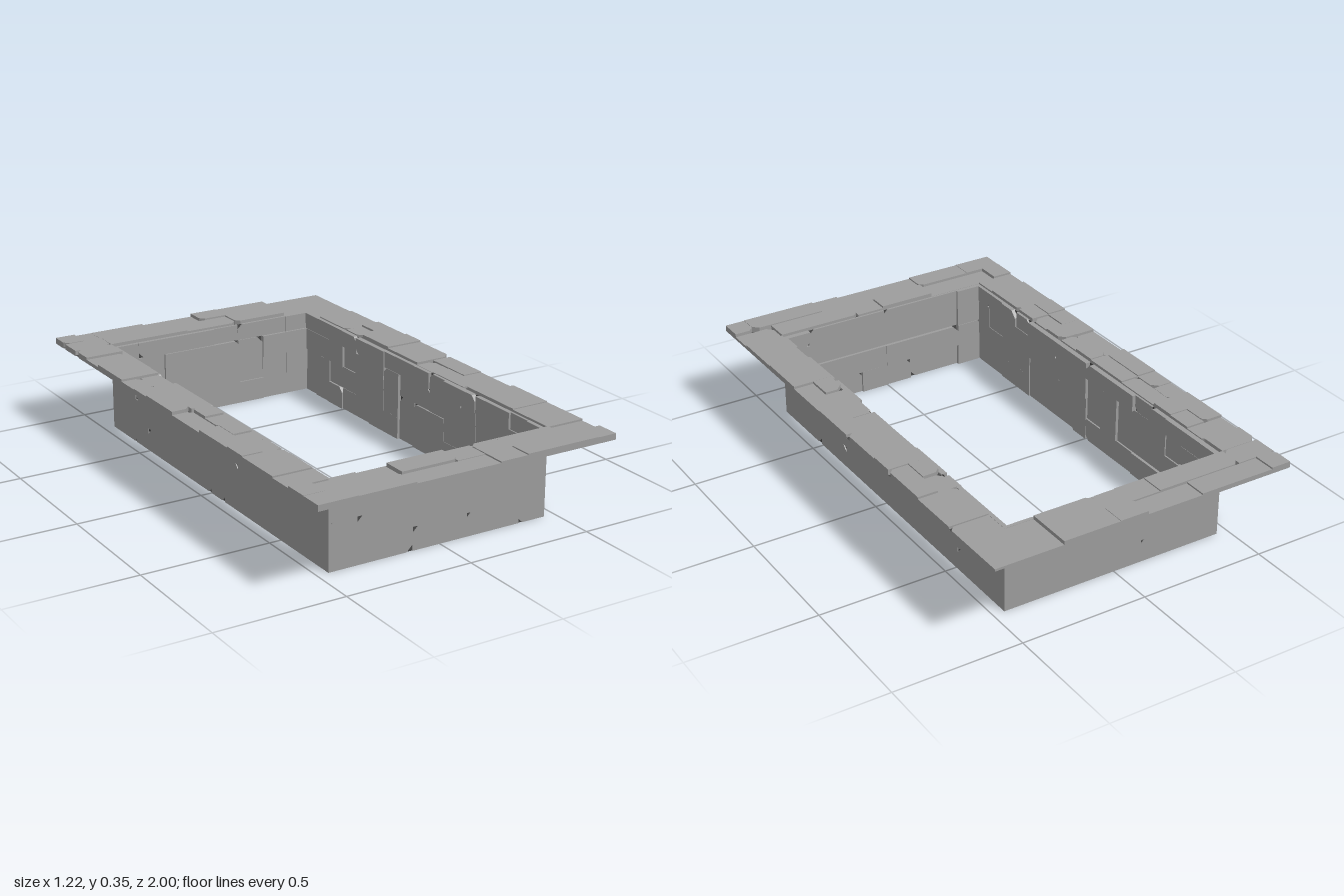
import * as THREE from 'three';

const stoneMaterial = new THREE.MeshStandardMaterial({ color: 0x9d9d9d, flatShading: true, side: THREE.DoubleSide });
const jointMaterial = new THREE.MeshStandardMaterial({ color: 0x484848, side: THREE.DoubleSide });

// Small seeded generator, so the masonry is always laid the same way
let seed = 11;
const rand = () => {
  seed = (seed * 16807) % 2147483647;
  return seed / 2147483647;
};
const pick = (list) => list[Math.floor(rand() * list.length)];
const steps = (from, to, n) => Array.from({ length: n + 1 }, (_, i) => from + (to - from) * i / n);

// One slab: a rectangle, optionally with its far corner notched (L shape) and one corner chipped
function slab(u0, u1, v0, v1, notch, chip, depth) {
  let pts = notch
    ? [[u0, v0], [u1, v0], [u1, notch[1]], [notch[0], notch[1]], [notch[0], v1], [u0, v1]]
    : [[u0, v0], [u1, v0], [u1, v1], [u0, v1]];
  if (chip > 0) {
    const k = Math.floor(rand() * pts.length);
    const p = pts[k], a = pts[(k + pts.length - 1) % pts.length], b = pts[(k + 1) % pts.length];
    const toward = (q) => {
      const len = Math.hypot(q[0] - p[0], q[1] - p[1]);
      return [p[0] + (q[0] - p[0]) * chip / len, p[1] + (q[1] - p[1]) * chip / len];
    };
    pts = [...pts.slice(0, k), toward(a), toward(b), ...pts.slice(k + 1)];
  }
  const shape = new THREE.Shape(pts.map(([x, y]) => new THREE.Vector2(x, y)));
  return new THREE.ExtrudeGeometry(shape, { depth, bevelEnabled: false });
}

// A panel of slabs laid on a lattice of u and v lines, each with its own thickness
function masonry(name, us, vs, u, v, origin, thickness) {
  const panel = new THREE.Group();
  panel.name = name;
  const nu = us.length - 1, nv = vs.length - 1;
  const used = new Set();
  const free = (i, j) => i < nu && j < nv && !used.has(i + j * nu);
  for (let j = 0; j < nv; j++) {
    for (let i = 0; i < nu; i++) {
      if (!free(i, j)) continue;
      let w = 1, h = 1;
      const wantW = pick([1, 1, 2, 2, 3]), wantH = pick([1, 1, 2, 2]);
      while (w < wantW && free(i + w, j)) w++;
      const rowFree = (row) => steps(0, w, w).slice(0, w).every((k) => free(i + k, row));
      while (h < wantH && rowFree(j + h)) h++;
      const notched = w > 1 && h > 1 && rand() < 0.4;
      for (let a = 0; a < w; a++) {
        for (let b = 0; b < h; b++) {
          if (!(notched && a === w - 1 && b === h - 1)) used.add(i + a + (j + b) * nu);
        }
      }
      const notch = notched ? [us[i + w - 1], vs[j + h - 1]] : null;
      const chip = rand() < 0.5 ? 0.016 + 0.011 * rand() : 0;
      const stone = new THREE.Mesh(
        slab(us[i], us[i + w], vs[j], vs[j + h], notch, chip, thickness(us[i], vs[j])), stoneMaterial);
      stone.name = 'stoneSlab';
      panel.add(stone);
    }
  }

  // Dark joint layer inside the slabs, seen only through the chipped corners
  const joint = new THREE.Mesh(new THREE.PlaneGeometry(us[nu] - us[0], vs[nv] - vs[0]), jointMaterial);
  joint.name = 'jointLayer';
  joint.position.set((us[0] + us[nu]) / 2, (vs[0] + vs[nv]) / 2, 0.004);
  panel.add(joint);

  const n = new THREE.Vector3().crossVectors(u, v);
  panel.applyMatrix4(new THREE.Matrix4().makeBasis(u, v, n).setPosition(...origin));
  return panel;
}

export function createModel() {
  const model = new THREE.Group();
  model.name = 'stonePitSurround';
  const X = 0.455, Z = 0.815, outerX = 0.61, outerZ = 1, rimY = 0.325;
  const axis = (x, y, z) => new THREE.Vector3(x, y, z);
  const up = axis(0, 1, 0);

  // Walls, flush outside and uneven inside
  const rows = [0, 0.09, 0.18, 0.27, 0.335];
  const across = steps(-X, X, 8), along = steps(-Z, Z, 16);
  const wallDepth = () => 0.008 + 0.014 * rand();
  model.add(
    masonry('frontWall', across, rows, axis(-1, 0, 0), up, [0, 0, Z], wallDepth),
    masonry('backWall', across, rows, axis(1, 0, 0), up, [0, 0, -Z], wallDepth),
    masonry('leftWall', along, rows, axis(0, 0, 1), up, [X, 0, 0], wallDepth),
    masonry('rightWall', along, rows, axis(0, 0, -1), up, [-X, 0, 0], wallDepth));

  // Flat rim, level below and uneven on top, with one low plain corner
  const rimDepth = (u, v) => (u > 0.33 && v > 0.6 ? 0.009 : 0.01 + 0.017 * rand());
  const rim = (name, us, vs) =>
    model.add(masonry(name, us, vs, axis(1, 0, 0), axis(0, 0, -1), [0, rimY, 0], rimDepth));
  const full = [-outerX, -0.53, ...across, 0.53, outerX];
  rim('backRim', full, [Z, 0.91, outerZ]);
  rim('frontRim', full, [-outerZ, -0.91, -Z]);
  rim('leftRim', [X, 0.53, outerX], along);
  rim('rightRim', [-outerX, -0.53, -X], along);
  return model;
}
